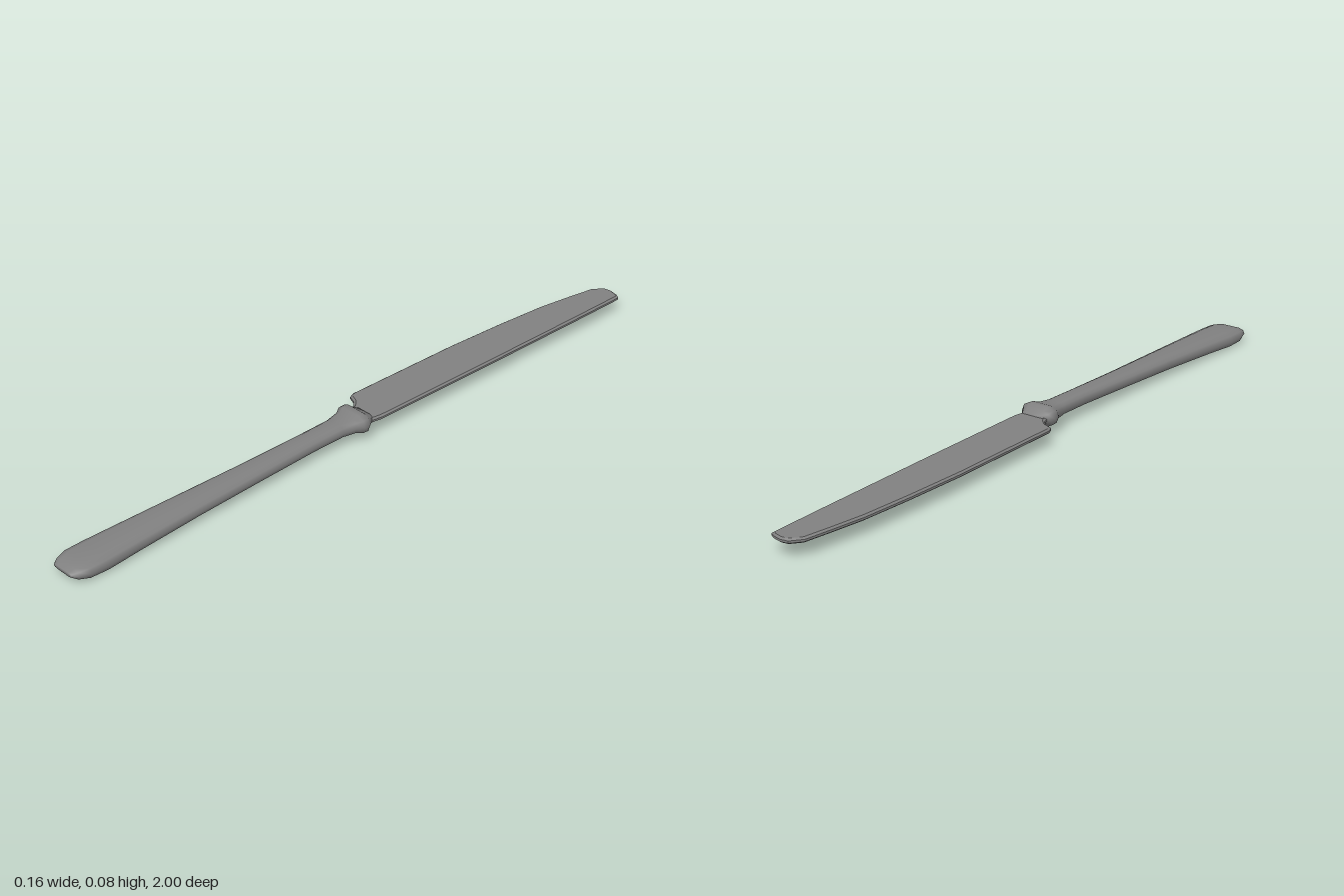
import * as THREE from 'three';
import { toCreasedNormals } from 'three/addons/utils/BufferGeometryUtils.js';

const material = new THREE.MeshStandardMaterial({ color: 0x808080 });

// Flattened round section, counter-clockwise seen from +z
const SECTION = [
  [1, 0], [0.88, 0.68], [0.58, 1], [0, 1], [-0.58, 1], [-0.88, 0.68],
  [-1, 0], [-0.88, -0.68], [-0.58, -1], [0, -1], [0.58, -1], [0.88, -0.68],
];

// Loft the section through stations of [z, centreY, halfWidth, halfHeight]
function loft(stations, centreX) {
  const n = SECTION.length;
  const positions = [];
  const index = [];
  for (const [z, y, w, h] of stations) {
    for (const [sx, sy] of SECTION) positions.push(centreX + sx * w, y + sy * h, z);
  }
  for (let r = 0; r < stations.length - 1; r++) {
    for (let i = 0; i < n; i++) {
      const a = r * n + i, b = r * n + (i + 1) % n;
      index.push(a, b, b + n, a, b + n, a + n);
    }
  }
  // Close both ends
  const last = (stations.length - 1) * n;
  for (let i = 1; i < n - 1; i++) {
    index.push(0, i + 1, i);
    index.push(last, last + i, last + i + 1);
  }
  const geometry = new THREE.BufferGeometry();
  geometry.setAttribute('position', new THREE.Float32BufferAttribute(positions, 3));
  geometry.setIndex(index);
  geometry.computeVertexNormals();
  return geometry;
}

export function createModel() {
  const group = new THREE.Group();
  group.name = 'tableKnife';
  const add = (name, geometry) => {
    const mesh = new THREE.Mesh(geometry, material);
    mesh.name = name;
    group.add(mesh);
  };

  // Handle with the swollen collar, tilting down towards its butt
  add('handle', loft([
    [-0.005, 0.047, 0.036, 0.012],
    [0.012, 0.048, 0.046, 0.019],
    [0.024, 0.049, 0.055, 0.028],
    [0.042, 0.049, 0.055, 0.026],
    [0.06, 0.048, 0.043, 0.021],
    [0.1, 0.047, 0.035, 0.018],
    [0.2, 0.045, 0.034, 0.018],
    [0.4, 0.039, 0.039, 0.018],
    [0.6, 0.034, 0.046, 0.019],
    [0.8, 0.027, 0.055, 0.021],
    [0.9, 0.0225, 0.06, 0.0225],
    [0.955, 0.0225, 0.059, 0.0205],
    [0.985, 0.023, 0.049, 0.014],
    [1.0, 0.024, 0.036, 0.005],
  ], 0.018));

  // Blade outline: straight spine on +x, curved cutting edge on -x
  const outline = [
    [0.055, 0.02], [0.063, -0.03], [0.062, -0.4], [0.058, -0.8], [0.055, -0.985],
    [0.04, -0.994], [0.015, -1], [-0.008, -0.996], [-0.033, -0.965],
    [-0.046, -0.885], [-0.061, -0.78], [-0.071, -0.62], [-0.078, -0.43],
    [-0.078, -0.055], [-0.07, -0.037], [-0.045, -0.027], [-0.028, -0.01], [-0.02, 0.02],
  ];
  const shape = new THREE.Shape(outline.map(([x, z]) => new THREE.Vector2(x, -z)));
  const blade = new THREE.ExtrudeGeometry(shape, {
    depth: 0.006, bevelEnabled: true, bevelThickness: 0.0045,
    bevelSize: 0.006, bevelOffset: -0.006, bevelSegments: 1,
  });
  blade.rotateX(-Math.PI / 2);
  blade.translate(0, 0.0435, 0);
  add('blade', toCreasedNormals(blade, 0.5));

  return group;
}
